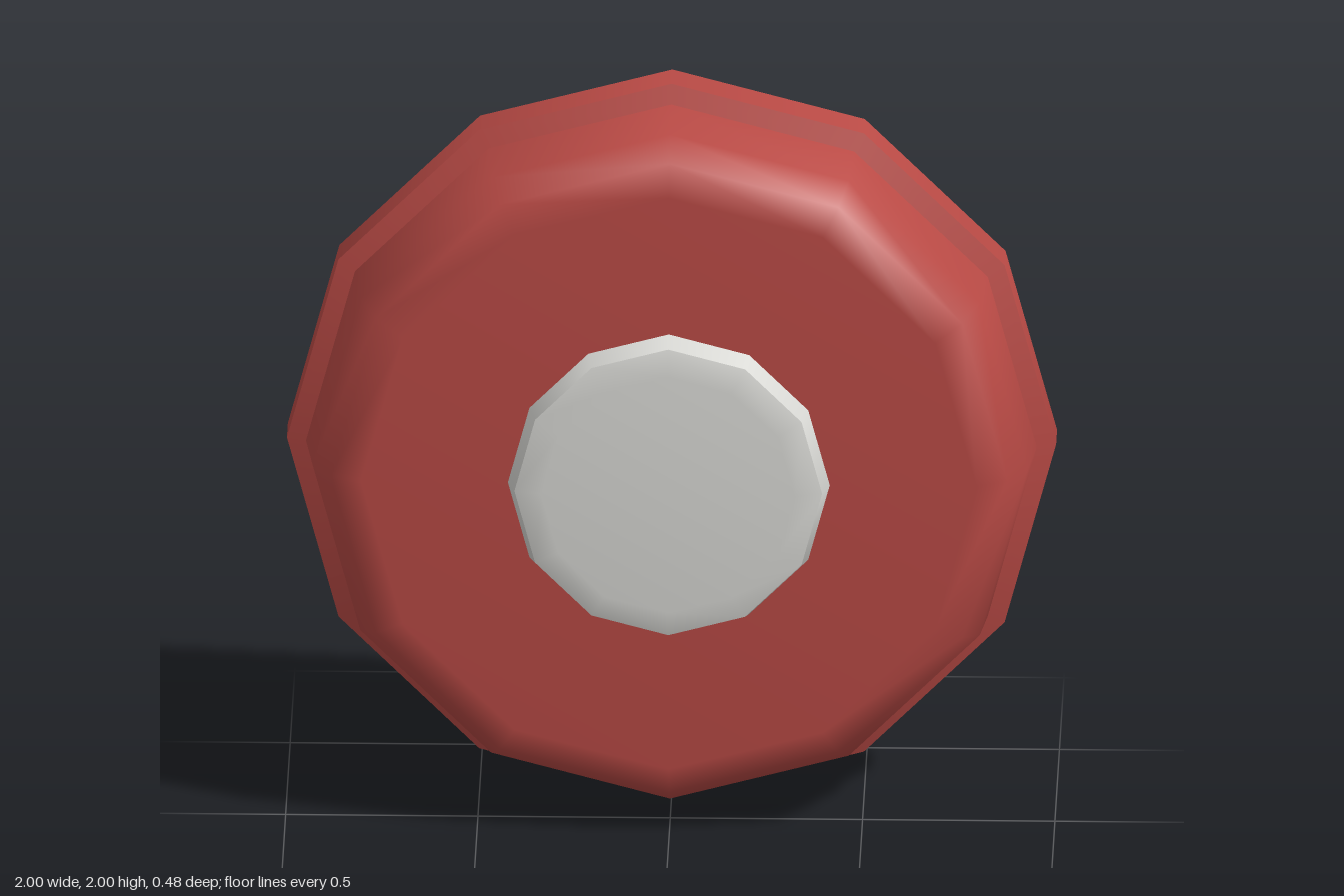
import * as THREE from 'three';

const SIDES = 12;

export function createModel() {
  const red = new THREE.MeshStandardMaterial({ color: 0xb94a45 });
  red.name = 'red';
  const silver = new THREE.MeshStandardMaterial({ color: 0xd9d9d5 });
  silver.name = 'silver';

  const model = new THREE.Group();
  model.name = 'wallButton';

  // Revolves a [radius, z] profile about the z axis; smooth within one profile,
  // so separate profiles meet in a sharp edge.
  function turned(name, material, profile, parent) {
    const points = profile.map(([r, z]) => new THREE.Vector2(r, z));
    const geometry = new THREE.LatheGeometry(points, SIDES);
    geometry.rotateX(Math.PI / 2);
    const mesh = new THREE.Mesh(geometry, material);
    mesh.name = name;
    parent.add(mesh);
  }

  // Backing plate: flat back, straight rim and sloped step
  const plate = new THREE.Group();
  plate.name = 'backingPlate';
  turned('plateBack', red, [[0, -0.24], [1, -0.24]], plate);
  turned('plateRim', red, [[1, -0.24], [1, -0.14]], plate);
  turned('plateStep', red, [[1, -0.14], [0.95, -0.12]], plate);

  // Rounded housing
  turned('housing', red, [[0.95, -0.12], [0.93, 0.04], [0.88, 0.12], [0.8, 0.16], [0, 0.16]], model);

  // Centre button: side wall and softly bevelled face
  const button = new THREE.Group();
  button.name = 'centreButton';
  turned('buttonSide', silver, [[0.42, 0.155], [0.4, 0.22]], button);
  turned('buttonFace', silver, [[0.4, 0.22], [0.33, 0.24], [0, 0.24]], button);

  model.add(plate, button);
  model.children.forEach((part) => { part.position.y = 1; });
  return model;
}
